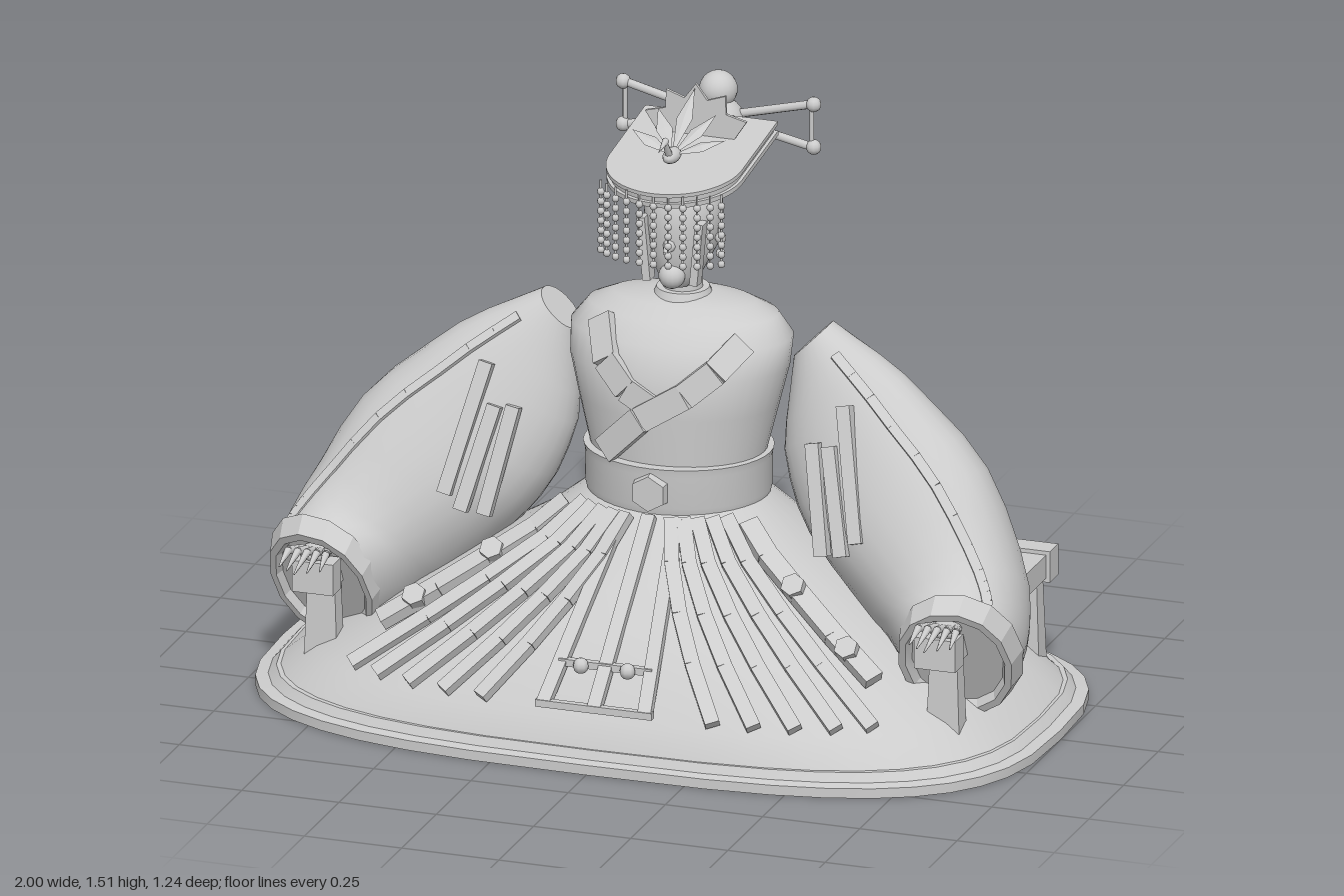
import * as THREE from 'three';
import { toCreasedNormals } from 'three/addons/utils/BufferGeometryUtils.js';

const V = (x, y, z) => new THREE.Vector3(x, y, z);
const stone = new THREE.MeshStandardMaterial({ color: 0xcccccc, side: THREE.DoubleSide });
stone.name = 'pale stone';

function add(parent, name, geo, x = 0, y = 0, z = 0) {
  const m = new THREE.Mesh(geo, stone);
  m.name = name;
  m.position.set(x, y, z);
  parent.add(m);
  return m;
}

// Ring of points round centre c, with half axes u and w; n is the squareness
function ring(c, u, w, n = 2, count = 32) {
  const pw = v => Math.sign(v) * Math.abs(v) ** (2 / n);
  return Array.from({ length: count }, (_, i) => {
    const a = i / count * Math.PI * 2;
    return c.clone().addScaledVector(u, pw(Math.cos(a))).addScaledVector(w, pw(Math.sin(a)));
  });
}
const flat = (y, rx, rz, cz = 0, n = 2) => ring(V(0, y, cz), V(rx, 0, 0), V(0, 0, rz), n, 40);

// Capped skin over a list of rings
function loft(rings, crease = 0.6) {
  const n = rings[0].length, pos = [], idx = [];
  rings.flat().forEach(p => pos.push(p.x, p.y, p.z));
  for (let r = 0; r < rings.length - 1; r++) for (let i = 0; i < n; i++) {
    const a = r * n + i, c = r * n + (i + 1) % n;
    idx.push(a, a + n, c, c, a + n, c + n);
  }
  [0, rings.length - 1].forEach((r, end) => {
    const mid = rings[r].reduce((s, p) => s.add(p), V(0, 0, 0)).divideScalar(n);
    const k = pos.length / 3;
    pos.push(mid.x, mid.y, mid.z);
    for (let i = 0; i < n; i++) {
      const a = r * n + i, c = r * n + (i + 1) % n;
      idx.push(k, end ? c : a, end ? a : c);
    }
  });
  const g = new THREE.BufferGeometry();
  g.setAttribute('position', new THREE.Float32BufferAttribute(pos, 3));
  g.setIndex(idx);
  return toCreasedNormals(g, crease);
}

// Box bar between two points, its thickness h along the up hint
function bar(parent, name, a, b, w, h, up = V(0, 0, 1)) {
  const d = b.clone().sub(a), len = d.length();
  d.normalize();
  const x = up.clone().cross(d).normalize();
  const m = add(parent, name, new THREE.BoxGeometry(w, h, len));
  m.quaternion.setFromRotationMatrix(new THREE.Matrix4().makeBasis(x, d.clone().cross(x), d));
  m.position.copy(a).add(b).multiplyScalar(0.5);
}
// Bars along a line of points; up(p) gives the outward direction at p
const strip = (parent, name, pts, w, h, up) =>
  pts.slice(1).forEach((p, i) => bar(parent, name, pts[i], p, w, h, up(p)));

function rod(parent, name, a, b, r0, r1 = r0, sides = 8) {
  const m = add(parent, name, new THREE.CylinderGeometry(r1, r0, a.distanceTo(b), sides));
  m.quaternion.setFromUnitVectors(V(0, 1, 0), b.clone().sub(a).normalize());
  m.position.copy(a).add(b).multiplyScalar(0.5);
}
const ball = (parent, name, x, y, z, r, seg = 16) =>
  add(parent, name, new THREE.SphereGeometry(r, seg, Math.max(6, seg * 0.7 | 0)), x, y, z);

// Skirt sections: y, half width, half depth, centre z, squareness
const SKIRT = [[0.05, 0.945, 0.58, 0, 3], [0.12, 0.86, 0.555, 0, 2.9], [0.3, 0.55, 0.405, -0.02, 2.5],
  [0.42, 0.35, 0.285, -0.035, 2.2], [0.53, 0.21, 0.18, -0.05, 2]];
function onSkirt(deg, y, lift) {
  let i = 0;
  while (i < SKIRT.length - 2 && SKIRT[i + 1][0] < y) i++;
  const t = (y - SKIRT[i][0]) / (SKIRT[i + 1][0] - SKIRT[i][0]);
  const [, rx, rz, cz, n] = SKIRT[i].map((v, k) => v + (SKIRT[i + 1][k] - v) * t);
  const c = Math.cos(deg * Math.PI / 180), s = Math.sin(deg * Math.PI / 180);
  return V(rx * c ** (2 / n), y + lift, cz + rz * s ** (2 / n) + lift);
}

function buildHead(g) {
  add(g, 'neck', new THREE.CylinderGeometry(0.045, 0.05, 0.1, 24), 0, 1.05, -0.08);
  add(g, 'neckCollar', new THREE.CylinderGeometry(0.065, 0.075, 0.025, 24), 0, 1.01, -0.08);
  add(g, 'head', loft([[1.04, 0.03, 0.03, -0.04], [1.07, 0.055, 0.065, -0.06], [1.13, 0.083, 0.1, -0.08],
    [1.2, 0.095, 0.11, -0.085], [1.25, 0.093, 0.105, -0.085], [1.28, 0.08, 0.09, -0.085]].map(s => flat(...s)), 1.2));
  add(g, 'hatBand', new THREE.CylinderGeometry(0.088, 0.088, 0.08, 32), 0, 1.31, -0.085);
  rod(g, 'nose', V(0, 1.16, 0.01), V(0, 1.15, 0.055), 0.02, 0.004);
  ball(g, 'chin', 0, 1.075, 0.0, 0.033);
  for (const s of [-1, 1]) {
    bar(g, 'hairLock', V(s * 0.075, 1.22, 0), V(s * 0.06, 1.06, 0), 0.02, 0.035);
    rod(g, 'earringWire', V(s * 0.097, 1.19, -0.07), V(s * 0.1, 1.12, -0.07), 0.004);
    ball(g, 'earring', s * 0.1, 1.16, -0.07, 0.014, 10);
    ball(g, 'earringDrop', s * 0.1, 1.12, -0.07, 0.012, 10);
  }
  // hair buns and forked pins
  ball(g, 'lowerBun', 0, 1.28, -0.24, 0.075, 24);
  ball(g, 'upperBun', 0, 1.355, -0.325, 0.07, 24);
  ball(g, 'topBun', 0, 1.44, -0.335, 0.047, 20);
  rod(g, 'bunSpike', V(0, 1.37, -0.3), V(0, 1.4, -0.405), 0.04, 0.004);
  for (const s of [-1, 1]) {
    for (const y of [1.43, 1.32]) {
      rod(g, 'hairpin', V(0, 1.37, -0.335), V(s * 0.24, y, -0.335), 0.011);
      ball(g, 'hairpinTip', s * 0.245, y, -0.335, 0.019, 10);
    }
    rod(g, 'pinPendant', V(s * 0.24, 1.43, -0.335), V(s * 0.24, 1.32, -0.335), 0.006);
    rod(g, 'hairTassel', V(s * 0.05, 1.36, -0.27), V(s * 0.05, 1.25, -0.27), 0.005);
    ball(g, 'tasselBead', s * 0.05, 1.25, -0.27, 0.012, 10);
  }
}

function buildHat(g) {
  const hat = new THREE.Group();
  hat.name = 'hat';
  hat.position.set(0, 1.35, -0.07);
  hat.rotation.x = 0.14;
  g.add(hat);
  // round-fronted board in three layers
  [[1, 0.012, -0.012], [0.95, 0.014, 0.002], [1, 0.01, 0.014]].forEach(([k, depth, y]) => {
    const s = new THREE.Shape();
    s.moveTo(-0.17 * k, -0.22 * k);
    s.lineTo(0.17 * k, -0.22 * k);
    s.lineTo(0.17 * k, 0.04);
    s.absellipse(0, 0.04, 0.17 * k, 0.17 * k, 0, Math.PI, false);
    const geo = new THREE.ExtrudeGeometry(s, { depth, bevelEnabled: false, curveSegments: 20 });
    add(hat, 'hatBoard', geo.rotateX(Math.PI / 2), 0, y, 0);
  });
  // bead curtain along the front curve
  for (let i = 0; i < 11; i++) {
    const a = (0.17 + 0.066 * i) * Math.PI, x = 0.18 * Math.cos(a), z = 0.02 + 0.115 * Math.sin(a);
    rod(g, 'beadThread', V(x, 1.33, z), V(x, 1.15, z), 0.003, 0.003, 5);
    for (let k = 0; k < 7; k++) ball(g, 'bead', x, 1.3 - k * 0.025, z, 0.0095, 8);
  }
  // bird with long neck and spread plumes
  ball(g, 'birdBody', 0, 1.385, 0, 0.026, 14).scale.set(0.8, 0.7, 1.5);
  rod(g, 'birdNeck', V(0, 1.39, 0.02), V(0, 1.435, 0.05), 0.01, 0.006);
  rod(g, 'birdBeak', V(0, 1.438, 0.045), V(0, 1.425, 0.095), 0.009, 0.001);
  const leaf = (name, a, b, half) => {
    const side = b.clone().sub(a).cross(V(0, 1, 0.3)).normalize().multiplyScalar(half);
    const mid = a.clone().lerp(b, 0.55), l = mid.clone().add(side), r = mid.clone().sub(side);
    mid.y += half * 0.3;
    add(g, name, new THREE.BufferGeometry().setFromPoints([a, mid, l, l, mid, b, a, r, mid, r, b, mid]))
      .geometry.computeVertexNormals();
  };
  [[-0.12, 1.42, -0.05], [-0.075, 1.46, -0.11], [0, 1.5, -0.165], [0.075, 1.46, -0.11], [0.12, 1.42, -0.05]]
    .forEach(p => leaf('plume', V(0, 1.385, 0), V(...p), 0.02));
  // upright petal crest behind the bird
  for (const [a, len] of [[-1.2, 0.14], [-0.6, 0.135], [0, 0.135], [0.6, 0.135], [1.2, 0.14]]) {
    const s = new THREE.Shape([[0, 0], [0.04, len * 0.6], [0, len], [-0.04, len * 0.6]].map(p => new THREE.Vector2(...p)));
    add(g, 'crestPetal', new THREE.ExtrudeGeometry(s, { depth: 0.009, bevelEnabled: false }), 0, 1.375, -0.18).rotation.z = a;
  }
}

// One arm on the +x side: sleeve, ribbons, hand and armrest
function buildSide() {
  const g = new THREE.Group();
  g.name = 'arm';
  const S = [[V(0.815, 0.265, 0.225), V(0.135, 0.01, -0.02), V(0, 0.155, 0.08)],
    [V(0.785, 0.285, 0.135), V(0.165, 0.03, -0.015), V(0, 0.15, 0.13)],
    [V(0.735, 0.335, 0.045), V(0.185, 0.08, -0.01), V(0, 0.12, 0.185)],
    [V(0.575, 0.555, -0.025), V(0.22, 0.11, 0), V(0, 0.04, 0.165)],
    [V(0.42, 0.75, -0.07), V(0.15, 0.11, 0), V(0, 0.01, 0.11)],
    [V(0.325, 0.915, -0.11), V(0.045, 0.045, 0), V(0, 0, 0.06)]];
  const [path, cu, cw] = [0, 1, 2].map(k => new THREE.CatmullRomCurve3(S.map(s => s[k])));
  const rings = [];
  for (let i = 0; i <= 15; i++) rings.push(ring(path.getPoint(i / 15), cu.getPoint(i / 15), cw.getPoint(i / 15), 2.1, 28));
  add(g, 'sleeve', loft(rings));
  strip(g, 'sleeveTrim', rings.slice(2, 15).map(r => r[4]), 0.025, 0.014, () => V(0.5, 0.4, 0.8));
  const [c, u, w] = S[0];
  const cuff = (dz, k) => ring(c.clone().add(V(0, -dz * 0.48, dz)), u.clone().multiplyScalar(k), w.clone().multiplyScalar(k), 2.1, 14);
  add(g, 'cuff', loft([cuff(0.002, 0.82), cuff(0.02, 0.9), cuff(0.02, 1.02), cuff(-0.03, 1.11), cuff(-0.035, 0.95)], 0.3));
  // hanging ribbons
  [[0.46, 0.81, 0.045, 0.53, 0.5, 0.155], [0.43, 0.71, 0.07, 0.49, 0.46, 0.15], [0.385, 0.71, 0.06, 0.435, 0.45, 0.135]]
    .forEach(([x0, y0, z0, x1, y1, z1]) => bar(g, 'sleeveRibbon', V(x0, y0, z0), V(x1, y1, z1), 0.035, 0.03));
  // armrest
  add(g, 'armrestBeam', new THREE.BoxGeometry(0.085, 0.06, 0.7), 0.8, 0.31, -0.03);
  add(g, 'armrestBackCap', new THREE.BoxGeometry(0.105, 0.08, 0.06), 0.8, 0.31, -0.365);
  add(g, 'armrestFrontCap', new THREE.BoxGeometry(0.105, 0.08, 0.06), 0.8, 0.315, 0.32);
  for (const z of [-0.31, 0.265]) {
    const leg = new THREE.CylinderGeometry(0.05, 0.064, 0.27, 4).rotateY(Math.PI / 4).scale(1, 1, 0.65);
    add(g, 'armrestLeg', toCreasedNormals(leg, 0.3), 0.8, 0.145, z);
  }
  // hand resting on the front cap
  ball(g, 'palm', 0.81, 0.365, 0.3, 0.04).scale.set(1, 0.5, 1.1);
  for (let i = -2; i <= 2; i++) {
    const k = V(0.81 + i * 0.024, 0.385, 0.36);
    rod(g, 'finger', V(0.81 + i * 0.014, 0.37, 0.3), k, 0.011, 0.01);
    rod(g, 'fingertip', k, V(0.81 + i * 0.026, 0.36, 0.455 - Math.abs(i) * 0.02), 0.01, 0.002);
  }
  // skirt pleats and knotted sash
  const ys = [0.5, 0.42, 0.33, 0.24, 0.13];
  for (const a of [44, 53, 62, 70, 77])
    strip(g, 'pleat', ys.map(y => onSkirt(a, y, 0.011)), 0.036, 0.024, () => V(0.25, 0.6, 0.75));
  strip(g, 'sash', [0.48, 0.42, 0.35, 0.28, 0.2].map(y => onSkirt(33, y, 0.02)), 0.05, 0.03, () => V(0.35, 0.75, 0.55));
  for (const y of [0.36, 0.25]) {
    const p = onSkirt(33, y, 0.03);
    add(g, 'sashKnot', toCreasedNormals(new THREE.CylinderGeometry(0.03, 0.03, 0.035, 6), 0.3), p.x, p.y, p.z).rotation.x = 0.8;
  }
  return g;
}

export function createModel() {
  const g = new THREE.Group();
  g.name = 'seatedFigure';
  // stepped base and skirt
  add(g, 'base', loft([flat(0, 1, 0.62, 0, 3.1), flat(0.025, 1, 0.62, 0, 3.1), flat(0.03, 0.97, 0.595, 0, 3.1), flat(0.052, 0.95, 0.585, 0, 3.1)], 0.4));
  add(g, 'skirt', loft(SKIRT.map(s => flat(...s))));
  // torso with belt
  add(g, 'torso', loft([[0.5, 0.205, 0.18, -0.05], [0.63, 0.22, 0.18, -0.05], [0.75, 0.25, 0.195, -0.055], [0.85, 0.275, 0.198, -0.06],
    [0.92, 0.28, 0.175, -0.075], [0.97, 0.24, 0.14, -0.085], [0.995, 0.18, 0.1, -0.09], [1.01, 0.07, 0.06, -0.085]].map(s => flat(...s)), 0.9));
  add(g, 'belt', loft([[0.51, 0.225, 0.2, -0.05], [0.53, 0.23, 0.205, -0.05], [0.61, 0.23, 0.205, -0.05], [0.63, 0.235, 0.208, -0.05]].map(s => flat(...s))));
  add(g, 'buckle', toCreasedNormals(new THREE.CylinderGeometry(0.045, 0.05, 0.03, 6).rotateX(Math.PI / 2), 0.3), 0, 0.57, 0.16);
  // crossed lapels
  const chest = p => V(p.x * 0.55, Math.max(0, p.y - 0.8), p.z + 0.06);
  strip(g, 'upperLapel', [V(0.2, 0.94, 0.045), V(0.15, 0.88, 0.11), V(0.08, 0.82, 0.138), V(-0.03, 0.75, 0.147), V(-0.13, 0.65, 0.12)], 0.065, 0.025, chest);
  strip(g, 'underLapel', [V(-0.17, 0.96, 0.035), V(-0.13, 0.88, 0.112), V(-0.07, 0.82, 0.135), V(0, 0.78, 0.138)], 0.065, 0.022, chest);
  // front apron: three strips, two cross bars and beads
  for (const s of [-1, 0, 1]) {
    bar(g, 'apronStrip', V(s * 0.07, 0.51, 0.165), V(s * 0.13, 0.15, 0.56), 0.034, 0.022, V(0, 0.7, 0.7));
    if (s) ball(g, 'apronBead', s * 0.06, 0.23, 0.49, 0.02, 8);
  }
  for (const [y, z, w] of [[0.15, 0.56, 0.15], [0.23, 0.475, 0.12]])
    bar(g, 'apronBar', V(-w, y, z), V(w, y, z), 0.018, 0.018);
  const left = buildSide(), right = buildSide();
  left.name = 'leftSide';
  right.name = 'rightSide';
  right.scale.x = -1;
  g.add(left, right);
  buildHead(g);
  buildHat(g);
  return g;
}
